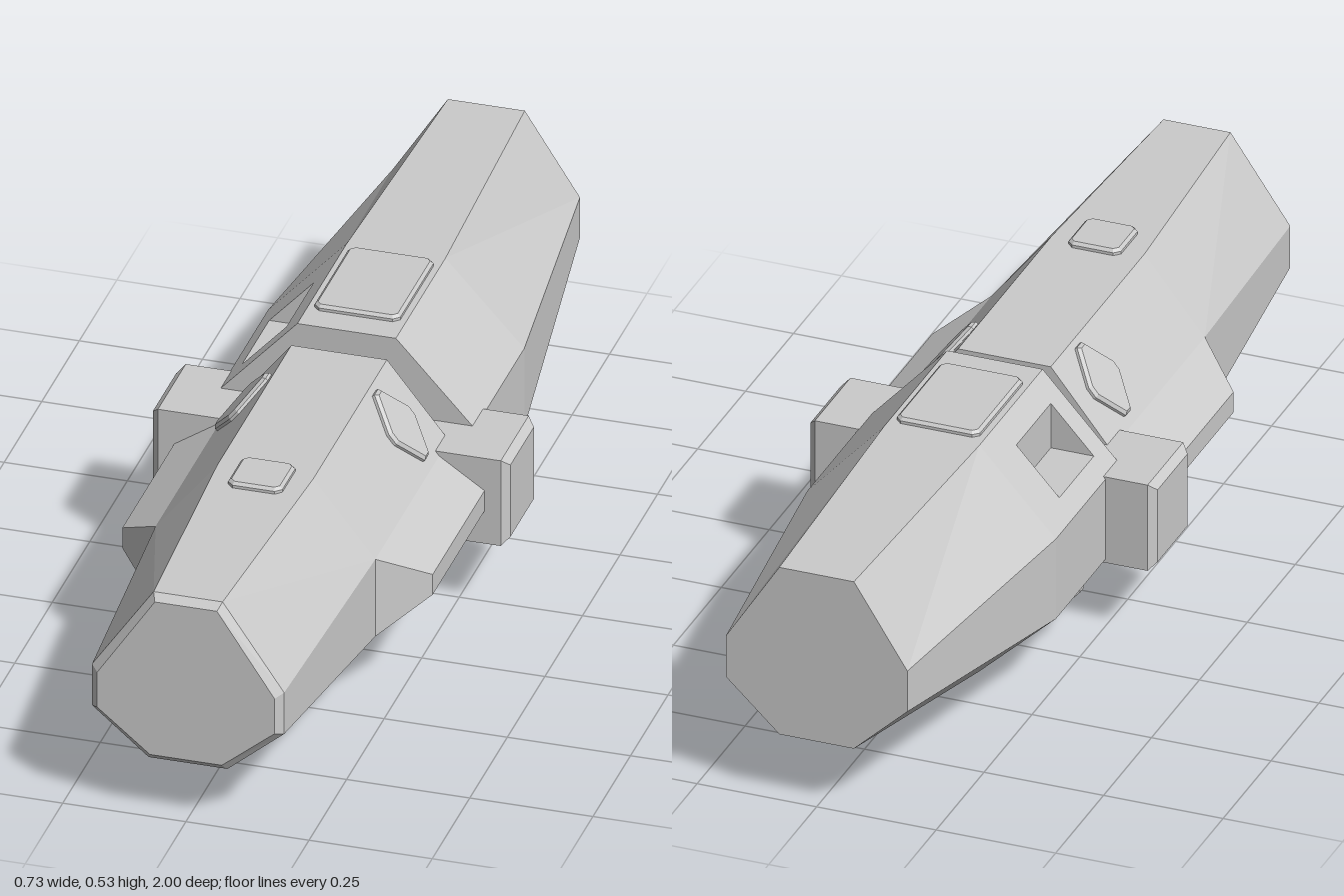
import * as THREE from 'three';
import { ConvexGeometry } from 'three/addons/geometries/ConvexGeometry.js';

const mat = new THREE.MeshStandardMaterial({ color: 0xcccccc, flatShading: true });

function addMesh(group, name, geometry) {
  const mesh = new THREE.Mesh(geometry, mat);
  mesh.name = name;
  group.add(mesh);
  return mesh;
}

function fromTriangles(points) {
  const g = new THREE.BufferGeometry().setFromPoints(points);
  g.computeVertexNormals();
  return g;
}

const quad = (out, a, b, c, d) => out.push(a, b, c, a, c, d);

// Eight-sided section: top height and half width, side half width with its
// upper and lower heights, bottom height and half width
function ring([z, top, topW, side, up, low, bottom, bottomW]) {
  return [[topW, top], [-topW, top], [-side, up], [-side, low],
    [-bottomW, bottom], [bottomW, bottom], [side, low], [side, up]]
    .map(([x, y]) => new THREE.Vector3(x, y, z));
}

// Skin sections listed from back to front; skip(i, j) leaves out a panel
function loft(sections, skip = () => false) {
  const rings = sections.map(ring), out = [];
  for (let i = 0; i < rings.length - 1; i++) {
    for (let j = 0; j < 8; j++) {
      if (skip(i, j)) continue;
      const k = (j + 1) % 8;
      const a = rings[i][j], b = rings[i][k], c = rings[i + 1][k], d = rings[i + 1][j];
      if (j === 1 || j === 5) quad(out, b, c, d, a);
      else quad(out, a, b, c, d);
    }
  }
  const first = rings[0], last = rings[rings.length - 1];
  for (let j = 1; j < 7; j++) {
    out.push(first[0], first[j + 1], first[j], last[0], last[j], last[j + 1]);
  }
  return out;
}

// Chamfered plate lying on a surface: length runs along z, width across it
function plate(group, name, length, width, pos, normal, { height = 0.012, diamond = false } = {}) {
  const l = length / 2, w = width / 2, c = 0.012;
  const pts = diamond
    ? [[l, -c], [l, c], [c, w], [-c, w], [-l, c], [-l, -c], [-c, -w], [c, -w]]
    : [[l, c - w], [l, w - c], [l - c, w], [c - l, w], [-l, w - c], [-l, c - w], [c - l, -w], [l - c, -w]];
  const bevel = 0.006;
  const g = new THREE.ExtrudeGeometry(new THREE.Shape(pts.map(p => new THREE.Vector2(...p))), {
    depth: height - bevel, bevelEnabled: true, bevelSegments: 1,
    bevelSize: bevel, bevelThickness: bevel, bevelOffset: -bevel,
  });
  const n = new THREE.Vector3(...normal).normalize();
  const zAxis = new THREE.Vector3(0, 0, 1);
  const across = n.clone().cross(zAxis);
  g.applyMatrix4(new THREE.Matrix4().makeBasis(zAxis, across, n).setPosition(...pos));
  return addMesh(group, name, g);
}

export function createModel() {
  const model = new THREE.Group();
  model.name = 'spacecraft';

  // Front hull
  addMesh(model, 'frontHull', fromTriangles(loft([
    [-0.02, 0.494, 0.097, 0.223, 0.335, 0.163, 0.053, 0.1],
    [0.47, 0.494, 0.097, 0.223, 0.335, 0.163, 0.053, 0.1],
    [0.985, 0.494, 0.07, 0.195, 0.312, 0.22, 0.123, 0.08],
    [1, 0.48, 0.063, 0.18, 0.304, 0.226, 0.138, 0.073],
  ])));

  // Rear hull with one upper panel left open for the notch
  const rear = loft([
    [-1, 0.515, 0.078, 0.19, 0.34, 0.25, 0.145, 0.078],
    [-0.4, 0.515, 0.1, 0.26, 0.34, 0.163, 0.014, 0.1],
    [-0.07, 0.515, 0.1, 0.26, 0.34, 0.163, 0.014, 0.1],
  ], (i, j) => i === 1 && j === 1);
  const onSlope = (x, z) => new THREE.Vector3(-x, 0.515 - (x - 0.1) * 0.175 / 0.16, z);
  const corners = (x0, x1, z0, z1) => [onSlope(x0, z0), onSlope(x1, z0), onSlope(x1, z1), onSlope(x0, z1)];
  const outer = corners(0.1, 0.26, -0.4, -0.07);
  const inner = corners(0.138, 0.228, -0.302, -0.122);
  for (let j = 0; j < 4; j++) {
    const k = (j + 1) % 4;
    quad(rear, outer[j], outer[k], inner[k], inner[j]);
  }
  addMesh(model, 'rearHull', fromTriangles(rear));

  // Notch: flat floor, upright inner wall and two triangular ends
  const [hiBack, loBack, loFront, hiFront] = inner;
  const baseBack = new THREE.Vector3(hiBack.x, loBack.y, hiBack.z);
  const baseFront = new THREE.Vector3(hiFront.x, loFront.y, hiFront.z);
  const notch = [];
  quad(notch, baseBack, loBack, loFront, baseFront);
  quad(notch, hiBack, baseBack, baseFront, hiFront);
  notch.push(hiBack, loBack, baseBack, hiFront, baseFront, loFront);
  addMesh(model, 'hullNotch', fromTriangles(notch));

  // Neck between the hulls and the housing below it
  addMesh(model, 'neck', fromTriangles(loft([
    [-0.08, 0.458, 0.07, 0.175, 0.32, 0.18, 0.095, 0.08],
    [-0.01, 0.458, 0.07, 0.175, 0.32, 0.18, 0.095, 0.08],
  ])));
  addMesh(model, 'neckHousing', new THREE.BoxGeometry(0.15, 0.1, 0.145)).position.set(0, 0.065, 0);
  plate(model, 'housingPlate', 0.065, 0.067, [0.021, 0.015, 0], [0, -1, 0]);

  for (const s of [1, -1]) {
    const side = s > 0 ? 'left' : 'right';

    // Wedge fairing along the front hull
    const wedge = [];
    for (const [x, y, z1] of [[0.223, 0.335, 0.47], [0.223, 0.163, 0.47], [0.315, 0.273, 0.39], [0.315, 0.228, 0.39]]) {
      for (const z of [-0.02, z1]) wedge.push(new THREE.Vector3(s * x, y, z));
    }
    addMesh(model, side + 'Fairing', new ConvexGeometry(wedge));

    // Side pod with a chamfered outer end
    const pod = [];
    for (const [x, inset] of [[0.12, 0], [0.348, 0], [0.363, 0.015]]) {
      for (const y of [0.155 + inset, 0.345 - inset]) {
        for (const z of [-0.141 + inset, 0.045 - inset]) pod.push(new THREE.Vector3(s * x, y, z));
      }
    }
    addMesh(model, side + 'Pod', new ConvexGeometry(pod));

    // Diamond plates on the sloping panels
    plate(model, side + 'UpperDiamond', 0.12, 0.165, [s * 0.157, 0.418, 0.095], [s * 0.159, 0.126, 0], { diamond: true });
    plate(model, side + 'LowerDiamond', 0.12, 0.165, [s * 0.178, 0.087, -0.22], [s * 0.149, -0.16, 0], { diamond: true });
  }

  // Plates on the top and bottom
  plate(model, 'rearTopPlate', 0.245, 0.174, [0, 0.515, -0.253], [0, 1, 0]);
  plate(model, 'rearBottomPlate', 0.26, 0.174, [0, 0.014, -0.207], [0, -1, 0], { height: 0.014 });
  plate(model, 'frontTopPlate', 0.11, 0.11, [0, 0.494, 0.495], [0, 1, 0]);
  plate(model, 'frontBottomPlate', 0.105, 0.11, [0, 0.053, 0.32], [0, -1, 0]);
  plate(model, 'tailBottomPlate', 0.12, 0.11, [0, 0.1, -0.685], [0, -1, 0], { height: 0.036 });

  return model;
}
